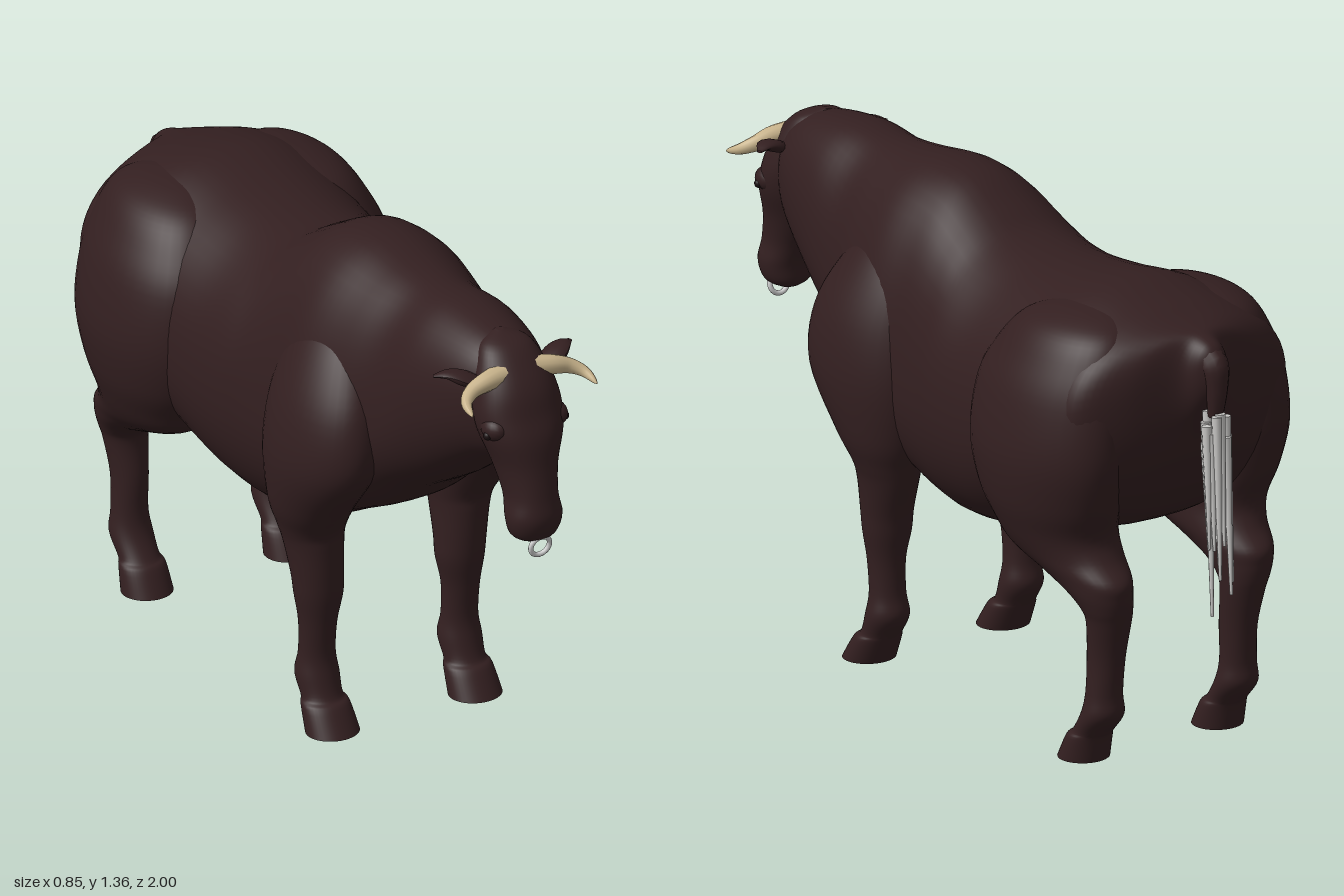
import * as THREE from 'three';

const mat = (name, color, side = THREE.FrontSide) => {
  const m = new THREE.MeshStandardMaterial({ color, side });
  m.name = name;
  return m;
};

// Smooth interpolation between rows of section numbers
function smoothRows(rows, steps) {
  const out = [];
  for (let i = 0; i < rows.length - 1; i++) {
    const [a, b, c, d] = [-1, 0, 1, 2].map(k => rows[Math.min(rows.length - 1, Math.max(0, i + k))]);
    for (let s = 0; s < steps; s++) {
      const t = s / steps;
      out.push(b.map((_, k) => b[k] + 0.5 * t * (c[k] - a[k] +
        t * (2 * a[k] - 5 * b[k] + 4 * c[k] - d[k] + t * (3 * (b[k] - c[k]) + d[k] - a[k])))));
    }
  }
  out.push(rows[rows.length - 1]);
  return out;
}

// Skin closed rings with flat caps; point(row, cos, sin) places a ring vertex
const bend = (v, power) => Math.sign(v) * Math.abs(v) ** power;
function loft(rows, point, power = 1, sides = 40, steps = 5) {
  const pos = [], idx = [];
  const rings = smoothRows(rows, steps);
  const addRing = row => {
    const start = pos.length / 3;
    for (let j = 0; j < sides; j++) {
      const a = (j / sides) * Math.PI * 2;
      pos.push(...point(row, bend(Math.cos(a), power), bend(Math.sin(a), power)));
    }
    return start;
  };
  rings.forEach(addRing);
  for (let i = 0; i < rings.length - 1; i++) {
    for (let j = 0; j < sides; j++) {
      const a = i * sides + j, b = i * sides + (j + 1) % sides;
      idx.push(a, a + sides, b, b, a + sides, b + sides);
    }
  }
  [rings[0], rings[rings.length - 1]].forEach((row, end) => {
    const s = addRing(row);
    for (let j = 1; j < sides - 1; j++) {
      idx.push(s, end ? s + j + 1 : s + j, end ? s + j : s + j + 1);
    }
  });
  const g = new THREE.BufferGeometry();
  g.setAttribute('position', new THREE.Float32BufferAttribute(pos, 3));
  g.setIndex(idx);
  g.computeVertexNormals();
  return g;
}

// Upright loft, rows: y, centre x, centre z, half width, half depth
const upright = (rows, side = 1, power = 1) => loft(rows,
  ([y, cx, cz, rx, rz], c, s) => [side * cx + Math.max(rx, 0.002) * c, y, cz + Math.max(rz, 0.002) * s], power);

// Tapered tube along a curve, with a flattening factor in y
function taperedTube(points, radius, flat = 1, segments = 20) {
  const curve = new THREE.CatmullRomCurve3(points.map(p => new THREE.Vector3(...p)));
  const g = new THREE.TubeGeometry(curve, segments, 1, 12, false);
  const p = g.attributes.position, v = new THREE.Vector3();
  for (let i = 0; i < p.count; i++) {
    const t = Math.floor(i / 13) / segments, c = curve.getPointAt(t);
    v.fromBufferAttribute(p, i).sub(c).multiplyScalar(radius(t));
    p.setXYZ(i, c.x + v.x, c.y + v.y * flat, c.z + v.z);
  }
  g.computeVertexNormals();
  return g;
}

export function createModel() {
  const bull = new THREE.Group();
  bull.name = 'bull';
  const hide = mat('darkBrownHide', 0x331f20, THREE.DoubleSide);
  const horn = mat('creamHorn', 0xc9b48c, THREE.DoubleSide);
  const metal = mat('silverMetal', 0xd2d2d2);
  const hair = mat('greyHair', 0xcac9c7);
  const dark = mat('darkEye', 0x1a1011);
  const add = (name, geometry, material) => {
    const m = new THREE.Mesh(geometry, material);
    m.name = name;
    bull.add(m);
    return m;
  };

  // Neck, hump, barrel, rump and tail root; rows: z, bottom, widest height, top, half width
  add('body', loft([
    [0.87, 1.08, 1.14, 1.20, 0.02], [0.84, 1.00, 1.15, 1.28, 0.09],
    [0.76, 0.95, 1.14, 1.318, 0.14], [0.60, 0.83, 1.07, 1.338, 0.187],
    [0.46, 0.74, 0.96, 1.330, 0.21], [0.34, 0.645, 0.88, 1.338, 0.26],
    [0.20, 0.57, 0.83, 1.355, 0.30], [0.07, 0.50, 0.82, 1.342, 0.295],
    [-0.04, 0.472, 0.82, 1.285, 0.308], [-0.13, 0.468, 0.83, 1.238, 0.326],
    [-0.26, 0.485, 0.83, 1.222, 0.335], [-0.42, 0.54, 0.86, 1.232, 0.35],
    [-0.60, 0.58, 0.90, 1.255, 0.36], [-0.74, 0.64, 0.95, 1.228, 0.36],
    [-0.81, 0.72, 0.98, 1.207, 0.325], [-0.86, 0.82, 1.01, 1.192, 0.225],
    [-0.895, 0.92, 1.05, 1.182, 0.09], [-0.94, 1.01, 1.09, 1.162, 0.045],
    [-0.965, 1.06, 1.09, 1.125, 0.015],
  ], ([z, lo, mid, hi, w], c, s) => s > 0
    ? [w * c, mid + s * (hi - mid), z]
    : [w * bend(c, 0.85), mid + s * (mid - lo), z], 0.92, 56), hide);

  // Head from muzzle up to the poll
  add('head', upright([
    [0.79, 0, 0.925, 0.03, 0.03], [0.81, 0, 0.928, 0.062, 0.055],
    [0.86, 0, 0.932, 0.076, 0.067], [0.92, 0, 0.915, 0.070, 0.075],
    [1.00, 0, 0.885, 0.084, 0.092], [1.08, 0, 0.865, 0.112, 0.102],
    [1.14, 0, 0.85, 0.120, 0.095], [1.20, 0, 0.833, 0.110, 0.09],
    [1.25, 0, 0.81, 0.095, 0.078], [1.30, 0, 0.785, 0.065, 0.05],
    [1.322, 0, 0.76, 0.01, 0.01],
  ], 1, 0.92), hide);

  const foreleg = [
    [0, 0.215, 0.275, 0.073, 0.066], [0.065, 0.215, 0.238, 0.066, 0.058],
    [0.085, 0.215, 0.22, 0.056, 0.051], [0.14, 0.215, 0.195, 0.059, 0.057],
    [0.20, 0.215, 0.195, 0.05, 0.046], [0.29, 0.215, 0.20, 0.052, 0.049],
    [0.37, 0.213, 0.20, 0.066, 0.062], [0.43, 0.215, 0.197, 0.070, 0.070],
    [0.52, 0.22, 0.185, 0.078, 0.088], [0.57, 0.225, 0.183, 0.088, 0.10],
    [0.65, 0.235, 0.20, 0.105, 0.14], [0.80, 0.235, 0.245, 0.125, 0.205],
    [0.95, 0.220, 0.25, 0.120, 0.20], [1.08, 0.185, 0.23, 0.097, 0.16],
    [1.17, 0.15, 0.21, 0.06, 0.10], [1.20, 0.13, 0.20, 0.01, 0.01],
  ];
  const hindLeg = [
    [0, 0.215, -0.665, 0.07, 0.066], [0.065, 0.215, -0.69, 0.064, 0.055],
    [0.085, 0.215, -0.708, 0.055, 0.051], [0.14, 0.215, -0.748, 0.058, 0.055],
    [0.20, 0.215, -0.755, 0.05, 0.047], [0.30, 0.212, -0.76, 0.05, 0.052],
    [0.40, 0.215, -0.775, 0.06, 0.059], [0.44, 0.22, -0.772, 0.068, 0.072],
    [0.48, 0.225, -0.745, 0.08, 0.105], [0.52, 0.227, -0.69, 0.095, 0.158],
    [0.57, 0.23, -0.61, 0.12, 0.19], [0.63, 0.24, -0.58, 0.137, 0.198],
    [0.72, 0.255, -0.572, 0.152, 0.238], [0.85, 0.26, -0.575, 0.163, 0.268],
    [1.00, 0.245, -0.58, 0.155, 0.262], [1.10, 0.22, -0.595, 0.137, 0.23],
    [1.17, 0.195, -0.61, 0.112, 0.185], [1.205, 0.17, -0.62, 0.07, 0.11],
    [1.22, 0.15, -0.62, 0.01, 0.02],
  ];

  for (const [label, s] of [['left', 1], ['right', -1]]) {
    // Legs with shoulder and thigh muscle
    add(label + 'Foreleg', upright(foreleg, s), hide);
    add(label + 'HindLeg', upright(hindLeg, s), hide);

    // Horns curve outward and then forward
    add(label + 'Horn', taperedTube([
      [0.045 * s, 1.238, 0.85], [0.10 * s, 1.235, 0.86], [0.148 * s, 1.222, 0.868],
      [0.178 * s, 1.207, 0.892], [0.188 * s, 1.19, 0.94],
    ], t => 0.031 * (1 - t) ** 0.6 + 0.001), horn);

    // Leaf shaped ears behind the horns
    add(label + 'Ear', taperedTube([
      [0.08 * s, 1.205, 0.83], [0.13 * s, 1.23, 0.81], [0.17 * s, 1.245, 0.79], [0.205 * s, 1.24, 0.77],
    ], t => 0.008 + 0.027 * Math.sin(Math.PI * Math.min(1, 0.12 + t * 0.9)), 0.4), hide);

    // Brow and eye
    const brow = add(label + 'Brow', new THREE.SphereGeometry(0.04, 20, 14), hide);
    brow.position.set(0.088 * s, 1.11, 0.885);
    brow.scale.set(0.9, 0.85, 1.1);
    const eye = add(label + 'Eye', new THREE.SphereGeometry(0.012, 16, 12), dark);
    eye.position.set(0.116 * s, 1.098, 0.895);
  }

  // Nose ring
  const ring = add('noseRing', new THREE.TorusGeometry(0.028, 0.007, 10, 32), metal);
  ring.position.set(0, 0.78, 0.966);
  ring.rotation.x = 0.2;

  // Tail hanging from its root
  add('tail', taperedTube([
    [0, 1.12, -0.91], [0, 1.11, -0.945], [0, 1.05, -0.955], [0, 0.97, -0.95],
  ], t => 0.042 - 0.022 * t), hide);

  // Tail tuft of tapering strands
  let seed = 7;
  const rand = () => (seed = (seed * 16807) % 2147483647) / 2147483647;
  const tuft = new THREE.Group();
  tuft.name = 'tailTuft';
  bull.add(tuft);
  const up = new THREE.Vector3(0, 1, 0);
  for (let i = 0; i < 14; i++) {
    const a = i * 2.4, r = 0.65 + 0.35 * rand();
    const from = new THREE.Vector3(0.036 * r * Math.cos(a), 1.03 - 0.14 * rand(), -0.952 + 0.026 * r * Math.sin(a));
    const to = new THREE.Vector3(from.x * 1.15, i === 0 ? 0.43 : 0.46 + 0.22 * rand(), -0.972 + 0.025 * r * Math.sin(a));
    const dir = from.clone().sub(to);
    const strand = new THREE.Mesh(new THREE.CylinderGeometry(0.014, 0.004, dir.length(), 8), hair);
    strand.name = 'tuftStrand';
    strand.position.copy(from).add(to).multiplyScalar(0.5);
    strand.quaternion.setFromUnitVectors(up, dir.normalize());
    tuft.add(strand);
  }
  return bull;
}
